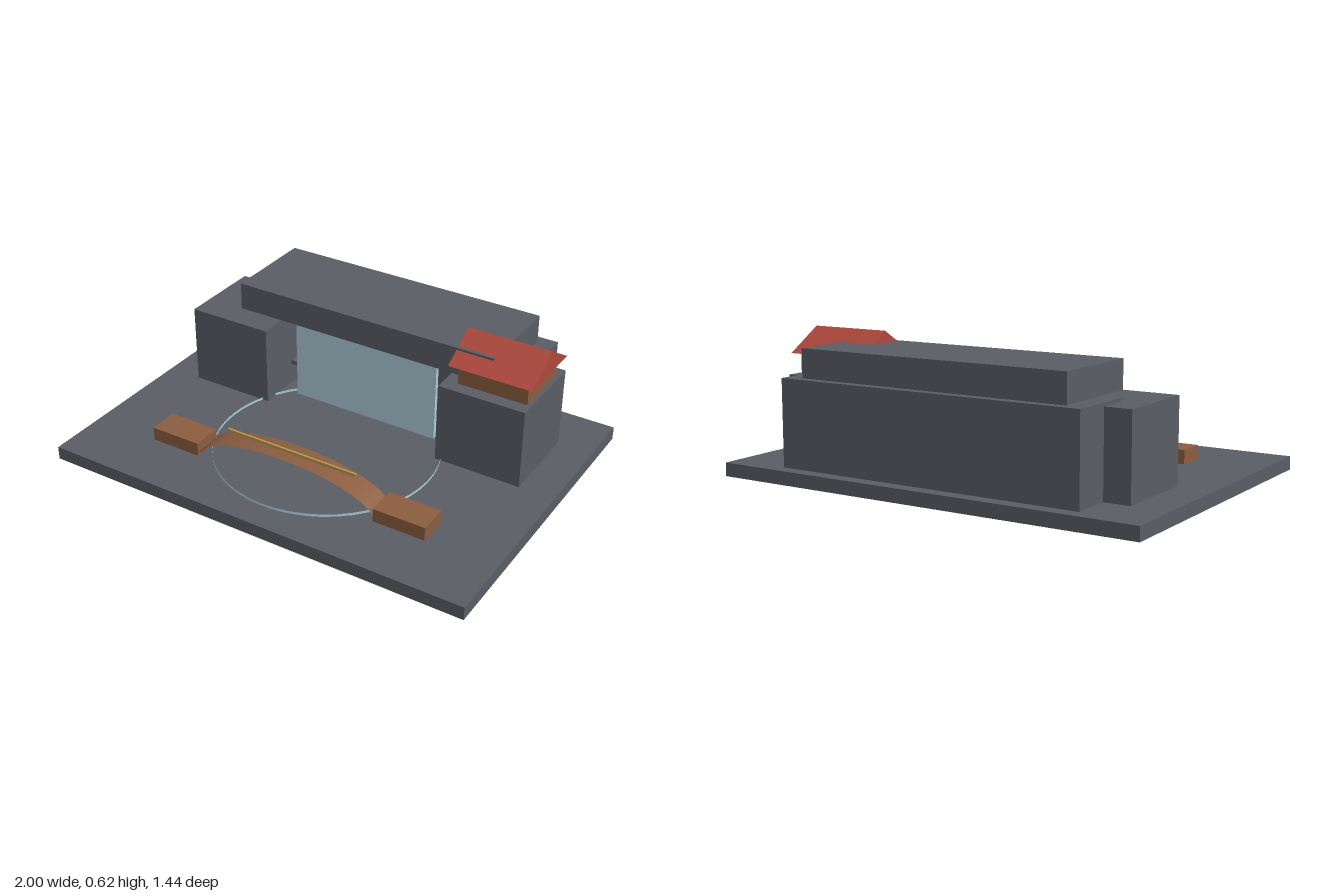
import * as THREE from 'three';

const mat = (name, color) => {
  const m = new THREE.MeshStandardMaterial({ color });
  m.name = name;
  return m;
};

export function createModel() {
  const group = new THREE.Group();
  const stone = mat('stoneGrey', 0x5a5d65);
  const wood = mat('woodBrown', 0x8a5d3f);
  const tile = mat('tileRed', 0xae483c);
  const water = mat('waterBlue', 0xabcad6);
  const gold = mat('railGold', 0xb4944a);
  water.side = wood.side = THREE.DoubleSide;

  const add = (name, geometry, material) => {
    const mesh = new THREE.Mesh(geometry, material);
    mesh.name = name;
    group.add(mesh);
    return mesh;
  };
  // box given by its min and max on each axis
  const box = (name, material, x0, x1, y0, y1, z0, z1) => {
    const mesh = add(name, new THREE.BoxGeometry(x1 - x0, y1 - y0, z1 - z0), material);
    mesh.position.set((x0 + x1) / 2, (y0 + y1) / 2, (z0 + z1) / 2);
    return mesh;
  };

  // ground slab and cliff
  box('ground', stone, -1, 1, 0, 0.06, -0.72, 0.72);
  box('cliffBack', stone, -0.72, 0.72, 0.06, 0.443, -0.66, -0.34);
  box('cliffTop', stone, -0.64, 0.64, 0.443, 0.57, -0.62, -0.18);
  box('caveLedge', stone, -0.46, 0.46, 0.16, 0.18, -0.35, -0.28);

  // mirrored cliff wings and bridge landings
  for (const s of [-1, 1]) {
    const wing = box('cliffWing', stone, -0.2, 0.2, 0.06, 0.427, -0.48, -0.08);
    wing.position.x = s * 0.638;
    const landing = box('bridgeLanding', wood, -0.12, 0.12, 0.06, 0.122, 0.312, 0.448);
    landing.position.x = s * 0.56;
  }

  // waterfall and the low open rim of the pool
  box('waterfall', water, -0.36, 0.36, 0.06, 0.443, -0.23, -0.21);
  const rim = add('poolRim', new THREE.CylinderGeometry(0.5, 0.5, 0.012, 48, 1, true), water);
  rim.position.set(0, 0.066, 0.1);

  // arched bridge deck: a flattened half cylinder without thickness
  const arch = new THREE.CylinderGeometry(1, 1, 0.124, 32, 1, true, -Math.PI / 2, Math.PI);
  arch.rotateX(-Math.PI / 2);
  arch.scale(0.44, 0.135, 1);
  add('bridgeArch', arch, wood).position.set(0, 0.06, 0.38);
  box('bridgeRail', gold, -0.32, 0.32, 0.195, 0.207, 0.375, 0.385);

  // hut on the left wing with a gabled roof, ridge along x
  box('hutWalls', wood, 0.5, 0.82, 0.427, 0.52, -0.42, -0.14);
  const gable = new THREE.Shape([
    new THREE.Vector2(-0.17, 0),
    new THREE.Vector2(0.17, 0),
    new THREE.Vector2(0, 0.105),
  ]);
  const roof = new THREE.ExtrudeGeometry(gable, { depth: 0.385, bevelEnabled: false });
  roof.rotateY(Math.PI / 2);
  add('hutRoof', roof, tile).position.set(0.465, 0.517, -0.28);

  return group;
}
